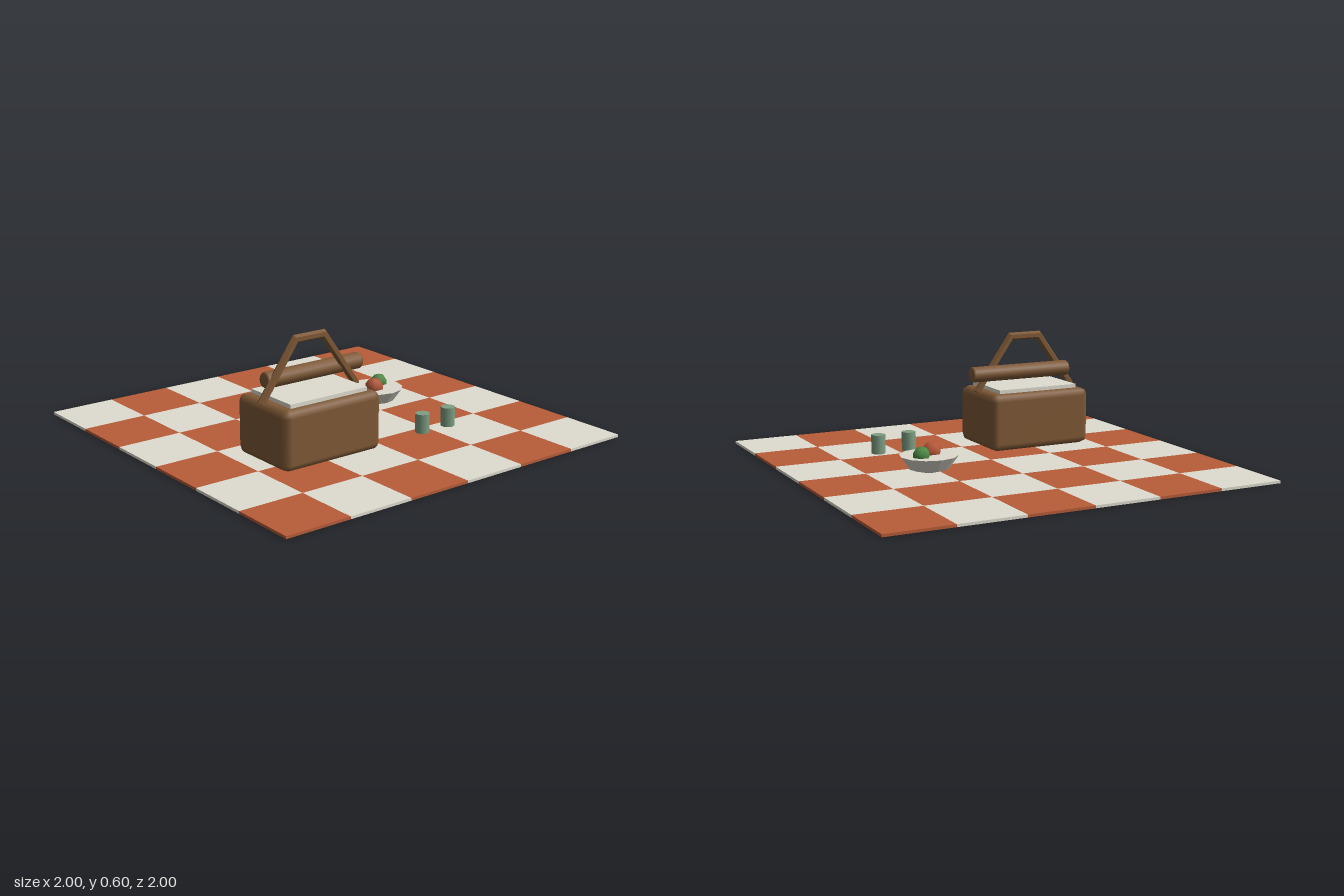
import * as THREE from 'three';
import { RoundedBoxGeometry } from 'three/addons/geometries/RoundedBoxGeometry.js';

const mat = (color, flatShading = false) => new THREE.MeshStandardMaterial({ color, flatShading });

export function createModel() {
  const root = new THREE.Group();
  const red = mat(0xb85c38), cream = mat(0xe0dcd0), wicker = mat(0x7f5936);
  const cupGreen = mat(0x7f9f83);

  function add(parent, name, geometry, material, x, y, z) {
    const mesh = new THREE.Mesh(geometry, material);
    mesh.name = name;
    mesh.position.set(x, y, z);
    parent.add(mesh);
    return mesh;
  }
  function group(name) {
    const g = new THREE.Group();
    g.name = name;
    root.add(g);
    return g;
  }

  // Checked blanket, six by six squares
  const blanket = group('blanket');
  const cell = 1 / 3, thick = 0.013;
  const square = new THREE.BoxGeometry(cell, thick, cell);
  for (let row = 0; row < 6; row++) {
    for (let col = 0; col < 6; col++) {
      add(blanket, 'blanketSquare', square, (row + col) % 2 ? red : cream,
        -1 + (col + 0.5) * cell, thick / 2, -1 + (row + 0.5) * cell);
    }
  }

  // Basket with chamfered body and folded cloth
  const basket = group('basket');
  const cx = -0.335, cz = 0.28;
  add(basket, 'basketBody', new RoundedBoxGeometry(0.555, 0.29, 0.385, 1, 0.036), wicker, cx, 0.167, cz);
  add(basket, 'basketCloth', new THREE.BoxGeometry(0.44, 0.03, 0.305), cream, cx, 0.316, cz);

  // Handle: a mitred six-sided bar swept along four points
  const path = [[-0.275, 0.303], [-0.08, 0.578], [0.08, 0.578], [0.275, 0.303]]
    .map(([x, y]) => new THREE.Vector2(x, y));
  const sides = 6, radius = 0.02, pos = [], index = [];
  path.forEach((p, i) => {
    const a = path[Math.max(i - 1, 0)], b = path[Math.min(i + 1, 3)];
    const d1 = (i ? p.clone().sub(a) : b.clone().sub(p)).normalize();
    const d2 = (i < 3 ? b.clone().sub(p) : p.clone().sub(a)).normalize();
    const dir = d1.clone().add(d2).normalize();
    const miter = 1 / dir.dot(d1);
    for (let k = 0; k < sides; k++) {
      const t = (k / sides) * Math.PI * 2;
      const n = Math.cos(t) * radius * miter;
      pos.push(p.x - dir.y * n, p.y + dir.x * n, Math.sin(t) * radius);
      if (i < 3) {
        const q = i * sides + k, r = i * sides + (k + 1) % sides;
        index.push(q, q + sides, r, r, q + sides, r + sides);
      }
    }
  });
  for (let k = 1; k < sides - 1; k++) {
    const e = 3 * sides;
    index.push(0, k, k + 1, e, e + k + 1, e + k);
  }
  const handleGeometry = new THREE.BufferGeometry();
  handleGeometry.setAttribute('position', new THREE.Float32BufferAttribute(pos, 3));
  handleGeometry.setIndex(index);
  handleGeometry.computeVertexNormals();
  const handleMat = mat(0x7f5936, true);
  handleMat.side = THREE.DoubleSide;
  add(basket, 'basketHandle', handleGeometry, handleMat, cx, 0, cz);

  // Rolled lid resting above the cloth, with bevelled ends
  const rollProfile = [[0, -0.277], [0.033, -0.277], [0.04, -0.267], [0.04, 0.267], [0.033, 0.277], [0, 0.277]]
    .map(([r, y]) => new THREE.Vector2(r, y));
  const roll = add(basket, 'rolledLid', new THREE.LatheGeometry(rollProfile, 12), wicker, -0.29, 0.4, 0.245);
  roll.rotation.z = -Math.PI / 2;

  // Filled fruit bowl
  const bowl = group('fruitBowl');
  const bowlProfile = [[0, 0.015], [0.03, 0.017], [0.098, 0.036], [0.143, 0.1], [0, 0.1]]
    .map(([r, y]) => new THREE.Vector2(r, y));
  add(bowl, 'bowl', new THREE.LatheGeometry(bowlProfile, 12), mat(0xdedace, true), 0.388, 0, -0.112);
  for (const [name, color, r, x, y, z] of [
    ['redFruit', 0xb5573a, 0.05, 0.365, 0.107, -0.09],
    ['greenFruit', 0x4f8a45, 0.045, 0.442, 0.107, -0.145]]) {
    add(bowl, name, new THREE.SphereGeometry(r, 6, 5), mat(color), x, y, z);
  }

  // Pair of cups
  for (const x of [0.275, 0.442]) {
    add(root, 'cup', new THREE.CylinderGeometry(0.036, 0.036, 0.096, 10), cupGreen, x, 0.062, 0.385);
  }
  return root;
}
